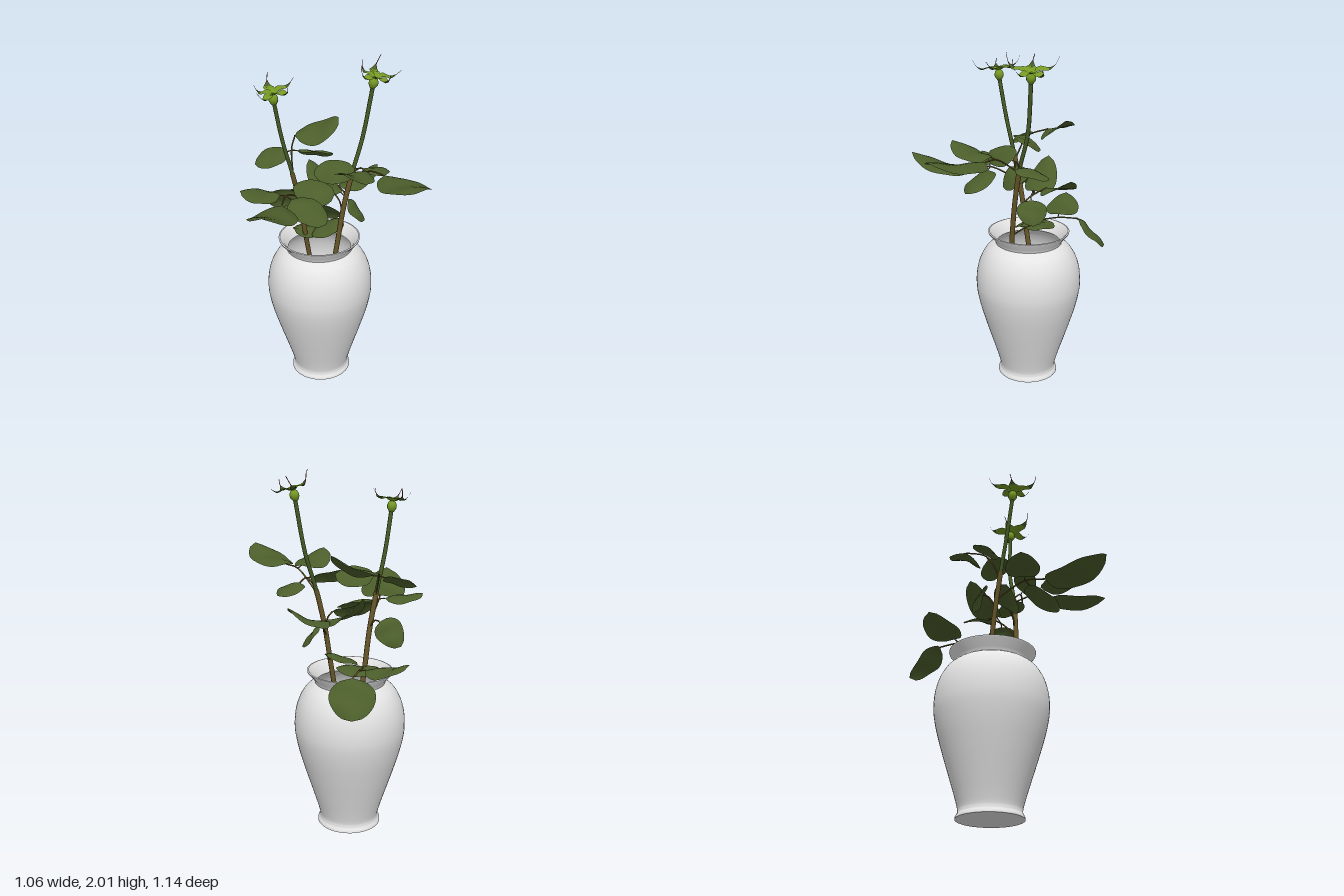
import * as THREE from 'three';
import { toCreasedNormals } from 'three/addons/utils/BufferGeometryUtils.js';

const mat = (name, color, side = THREE.FrontSide) => {
  const m = new THREE.MeshStandardMaterial({ color, side });
  m.name = name;
  return m;
};
const V = (a) => new THREE.Vector3(...a);
const V2 = (a) => new THREE.Vector2(...a);
const UP = new THREE.Vector3(0, 1, 0);

// Curved blade swept along a curve; width(t) is the half width, arch drops the edges
function blade(curve, width, arch, roll, t0, t1, nt, ns) {
  const pos = [], idx = [];
  const dir = curve.getPoint(1).sub(curve.getPoint(0)).normalize();
  const side = new THREE.Vector3().crossVectors(dir, UP).normalize().applyAxisAngle(dir, roll);
  const normal = new THREE.Vector3().crossVectors(side, dir).normalize();
  for (let i = 0; i <= nt; i++) {
    const t = t0 + (t1 - t0) * i / nt, c = curve.getPoint(t), w = width(t);
    for (let j = 0; j <= ns; j++) {
      const s = j / ns * 2 - 1;
      const wave = 0.05 * w * Math.sin(t * 9 + s * 2);
      const p = c.clone().addScaledVector(side, s * w).addScaledVector(normal, wave - arch * s * s * w);
      pos.push(p.x, p.y, p.z);
      if (i < nt && j < ns) {
        const a = i * (ns + 1) + j, b = a + ns + 1;
        idx.push(a, a + 1, b, a + 1, b + 1, b);
      }
    }
  }
  const g = new THREE.BufferGeometry();
  g.setAttribute('position', new THREE.Float32BufferAttribute(pos, 3));
  g.setIndex(idx);
  g.computeVertexNormals();
  return g;
}

// Full, rounded leaf outline with a small pointed tip
const leafOutline = (t) => Math.pow(Math.max(0, Math.sin(Math.PI * Math.pow(t, 0.9))), 0.5);

export function createModel() {
  const root = new THREE.Group();
  const glaze = mat('vase glaze', 0xe4e4e4);
  const blue = mat('water blue', 0x3791dc);
  const leafGreen = mat('leaf green', 0x4c5e2b, THREE.DoubleSide);
  const stemGreen = mat('stem green', 0x465a26);
  const bark = mat('stem brown', 0x665628);
  const budGreen = mat('calyx green', 0x769a24, THREE.DoubleSide);
  const sepalRed = mat('sepal tip red', 0x6b3420, THREE.DoubleSide);

  const add = (parent, name, geo, material) => {
    const m = new THREE.Mesh(geo, material);
    m.name = name;
    parent.add(m);
    return m;
  };
  const tube = (parent, name, pts, r, material) =>
    add(parent, name, new THREE.TubeGeometry(new THREE.CatmullRomCurve3(pts), 20, r, 8), material);

  // Vase: foot, rounded body, flared rim and inner wall
  const body = new THREE.SplineCurve([[0.179, 0.012], [0.167, 0.04], [0.18, 0.1], [0.214, 0.21], [0.252, 0.33],
    [0.287, 0.45], [0.308, 0.55], [0.312, 0.62], [0.305, 0.69], [0.286, 0.755], [0.255, 0.81],
    [0.222, 0.842], [0.196, 0.858]].map(V2)).getPoints(60);
  const inside = body.filter((p) => p.y > 0.5).reverse().map((p) => new THREE.Vector2(p.x - 0.01, p.y));
  const profile = [
    ...[[0, 0], [0.18, 0]].map(V2), ...body,
    ...[[0.202, 0.878], [0.238, 0.918], [0.24, 0.926], [0.232, 0.928], [0.207, 0.9]].map(V2), ...inside,
  ];
  const vase = add(root, 'vase', toCreasedNormals(new THREE.LatheGeometry(profile, 56), 0.75), glaze);
  vase.position.set(-0.148, 0, -0.115);
  const water = add(root, 'water', new THREE.CircleGeometry(0.3, 48).rotateX(-Math.PI / 2), blue);
  water.position.set(-0.148, 0.62, -0.115);

  // Main stems: brown below, green above
  const makeStem = (...pts) => {
    const curve = new THREE.CatmullRomCurve3(pts.map(V));
    const part = (a, b) => Array.from({ length: 9 }, (_, i) => curve.getPoint(a + (b - a) * i / 8));
    tube(root, 'lowerStem', part(0, 0.6), 0.0145, bark);
    tube(root, 'upperStem', part(0.59, 1), 0.0115, stemGreen);
    return curve;
  };
  const rightStem = makeStem([-0.18, 0.5, -0.16], [-0.227, 0.93, -0.1], [-0.248, 1.15, -0.07],
    [-0.28, 1.36, -0.03], [-0.317, 1.57, 0.016], [-0.343, 1.79, 0.055]);
  const leftStem = makeStem([-0.09, 0.5, 0], [-0.022, 0.93, -0.015], [0.01, 1.15, -0.03],
    [0.053, 1.36, -0.055], [0.105, 1.57, -0.097], [0.155, 1.86, -0.11]);

  // One leaflet; its width follows its length, and rising leaflets sag while falling ones bow
  const leaf = (group, base, tip, roll = 0, ratio = 0.72) => {
    const half = base.distanceTo(tip) * ratio / 2;
    const mid = base.clone().lerp(tip, 0.5);
    mid.y += Math.min(0.035, 0.02 - (tip.y - base.y) * 0.6);
    const curve = new THREE.QuadraticBezierCurve3(base, mid, tip);
    add(group, 'leaf', blade(curve, (t) => leafOutline(t) * half, 0.25, roll, 0, 1, 16, 6), leafGreen);
  };

  // A spray: stalk from the stem through a node to the end leaf, with side leaflets at the node
  // Each leaflet is [tip, roll, width ratio]
  const spray = (stem, t, node, end, endLeaf, ...sideLeaves) => {
    const group = new THREE.Group();
    group.name = 'leafSpray';
    root.add(group);
    const n = V(node), e = V(end);
    tube(group, 'leafStalk', [stem.getPoint(t), n, e], 0.0045, bark);
    leaf(group, e, V(endLeaf[0]), ...endLeaf.slice(1));
    for (const [tip, ...shape] of sideLeaves) {
      const base = n.clone().lerp(V(tip), 0.13);
      tube(group, 'sideStalk', [n, base], 0.0035, bark);
      leaf(group, base, V(tip), ...shape);
    }
  };
  spray(rightStem, 0.21, [-0.22, 0.98, -0.29], [-0.2, 0.98, -0.41],
    [[-0.22, 0.805, -0.575], 0, 1.02], [[-0.49, 1.05, -0.36], 0, 0.78]);
  spray(rightStem, 0.57, [-0.3, 1.46, -0.11], [-0.31, 1.5, -0.23],
    [[-0.07, 1.6, -0.31], 0.3], [[-0.495, 1.39, -0.035], -0.4, 0.8], [[-0.06, 1.46, -0.11], -0.5, 0.85]);
  spray(rightStem, 0.45, [-0.28, 1.28, 0.11], [-0.275, 1.275, 0.22],
    [[-0.28, 1.37, 0.57]], [[-0.525, 1.31, 0.16], 0, 0.85], [[-0.03, 1.19, 0.23], 0.25]);
  spray(rightStem, 0.2, [-0.27, 0.95, -0.12], [-0.31, 0.95, -0.14], [[-0.08, 0.96, -0.2], 0, 0.85]);
  spray(rightStem, 0.41, [-0.28, 1.21, -0.1], [-0.31, 1.21, -0.12], [[-0.43, 1.08, -0.14], 0.9, 0.9]);
  spray(leftStem, 0.58, [0.18, 1.45, 0.07], [0.26, 1.46, 0.13],
    [[0.51, 1.53, 0.41], 0, 0.58], [[0.07, 1.53, 0.31], 0, 0.85]);
  spray(leftStem, 0.61, [0.11, 1.42, -0.03], [0.15, 1.39, -0.03],
    [[0.22, 1.35, -0.21]], [[-0.12, 1.42, 0.11], -0.65, 0.65]);
  spray(leftStem, 0.34, [0.01, 1.19, -0.12], [-0.05, 1.22, -0.21],
    [[0.155, 1.32, -0.33]], [[0.12, 1.05, -0.13], 0, 1.1], [[-0.23, 1.36, -0.23], 0, 0.65]);
  spray(leftStem, 0.38, [-0.01, 1.2, -0.04], [-0.04, 1.24, -0.05], [[-0.27, 1.28, 0], -0.6]);
  spray(leftStem, 0.21, [-0.01, 1.0, -0.1], [-0.02, 1.02, -0.17], [[-0.18, 0.95, -0.06], 0, 0.8]);

  // Calyx: green bulb and five curling sepals with thin red tips
  const bulb = [[0, -0.035], [0.014, -0.03], [0.025, -0.012], [0.026, 0.004], [0.019, 0.022], [0, 0.034]];
  const sepalWidth = (t) => 0.026 * Math.pow(Math.sin(Math.PI * Math.min(1, 0.2 + t * 1.1)), 1.2) + 0.002;
  const calyx = (position, tiltX, tiltZ, turn, lift) => {
    const g = new THREE.Group();
    g.name = 'calyx';
    add(g, 'bulb', new THREE.LatheGeometry(bulb.map(V2), 16), budGreen);
    for (let i = 0; i < 5; i++) {
      const angle = turn + i * Math.PI * 2 / 5, long = 1 + 0.25 * Math.sin(i * 2.3);
      const at = (r, y, twist) =>
        new THREE.Vector3(Math.cos(angle + twist) * r * long, y, Math.sin(angle + twist) * r * long);
      const curve = new THREE.CatmullRomCurve3([at(0.01, 0.025, 0), at(0.045, 0.04, 0), at(0.085, 0.035, 0.05),
        at(0.112, 0.055 + lift * 0.3, 0.12), at(0.125, 0.075 + lift * (i % 2 ? 1 : 0.5), 0.2)]);
      const piece = (name, t0, t1, material) =>
        add(g, name, blade(curve, sepalWidth, -0.3, 0, t0, t1, 7, 2), material);
      piece('sepal', 0, 0.5, budGreen);
      piece('sepalEnd', 0.5, 0.66, leafGreen);
      piece('sepalTip', 0.66, 1, sepalRed);
    }
    g.position.set(...position);
    g.rotation.set(tiltX, 0, tiltZ);
    root.add(g);
  };
  calyx([-0.345, 1.812, 0.057], 0.1, 0.08, 0.35, 0.02);
  calyx([0.158, 1.88, -0.11], 0, -0.25, 0.65, 0.035);

  return root;
}
